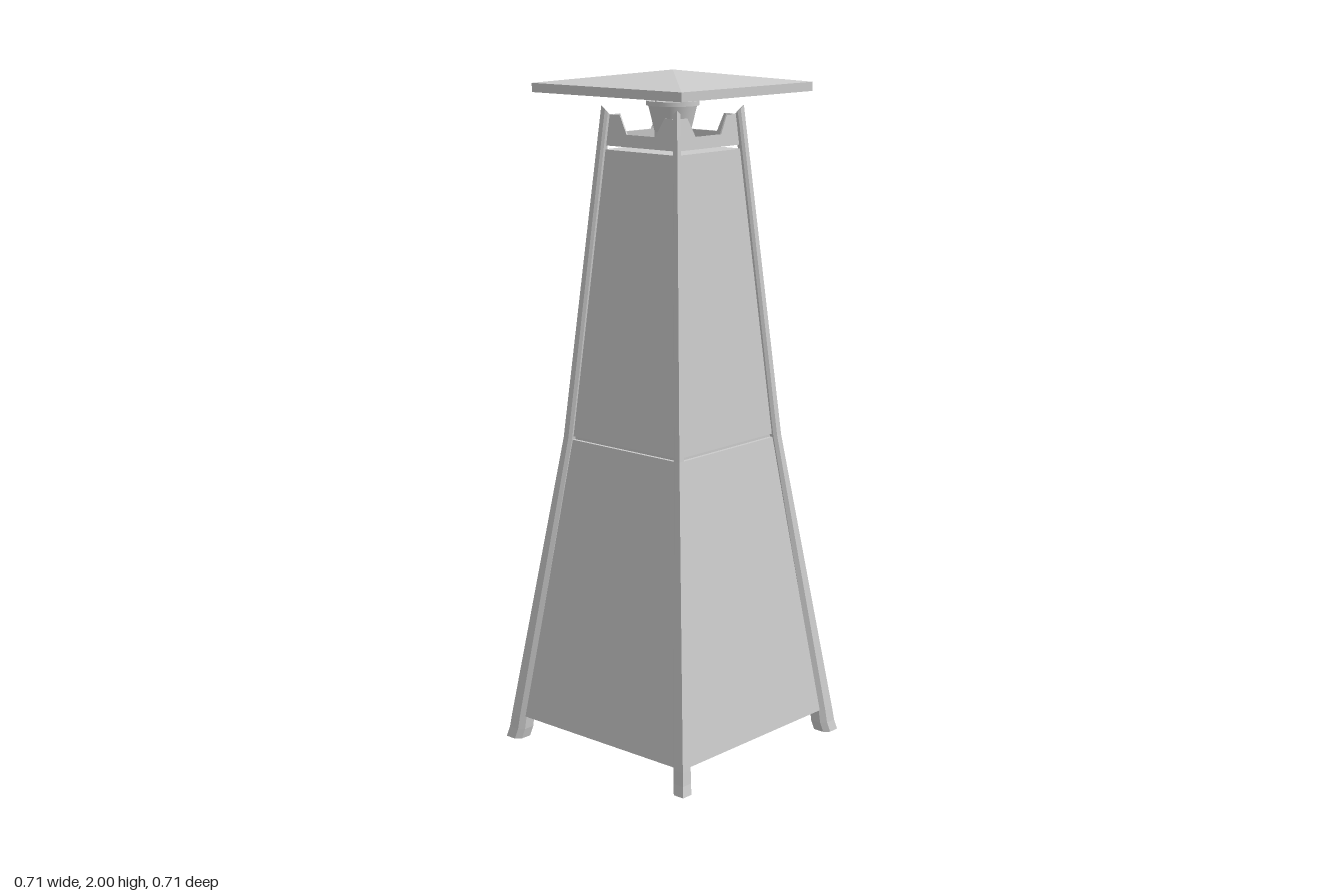
import * as THREE from 'three';

const flat = new THREE.MeshStandardMaterial({ color: 0xcccccc, flatShading: true });
const smooth = new THREE.MeshStandardMaterial({ color: 0xcccccc });
const sheet = new THREE.MeshStandardMaterial({ color: 0xcccccc, flatShading: true, side: THREE.DoubleSide });

function add(parent, name, geometry, material) {
  const mesh = new THREE.Mesh(geometry, material);
  mesh.name = name;
  parent.add(mesh);
  return mesh;
}

// Square tapered block from y0 to y1, given half widths at bottom and top
function frustum(y0, h0, y1, h1, open = false) {
  const g = new THREE.CylinderGeometry(h1 * Math.SQRT2, h0 * Math.SQRT2, y1 - y0, 4, 1, open);
  return g.rotateY(Math.PI / 4).translate(0, (y0 + y1) / 2, 0);
}

// Corner leg: six-sided section lofted through [height, outer corner, size]
function legGeometry() {
  const section = [[0, 0], [-0.7, 0], [-1, -0.3], [-1, -1], [-0.3, -1], [0, -0.7]];
  const rings = [
    [0, 0.357, 0.05], [0.03, 0.35, 0.05], [0.07, 0.345, 0.048],
    [0.93, 0.2275, 0.027], [1.83, 0.15, 0.022], [1.9, 0.144, 0.02],
  ];
  const n = section.length, last = rings.length - 1;
  const pos = [], idx = [];
  rings.forEach(([y, corner, size], i) => {
    for (const [u, v] of section) {
      const slant = i === last ? (u + v) * 0.015 : 0; // tip slopes inward
      pos.push(corner + u * size, y + slant, corner + v * size);
    }
  });
  for (let i = 0; i < last; i++) {
    for (let k = 0; k < n; k++) {
      const a = i * n + k, b = i * n + (k + 1) % n;
      idx.push(a, a + n, b, b, a + n, b + n);
    }
  }
  for (let k = 1; k < n - 1; k++) {
    idx.push(0, k, k + 1, last * n, last * n + k + 1, last * n + k);
  }
  const g = new THREE.BufferGeometry();
  g.setAttribute('position', new THREE.Float32BufferAttribute(pos, 3));
  g.setIndex(idx);
  g.computeVertexNormals();
  return g;
}

// Notched collar plate around the burner
function collarGeometry() {
  const s = new THREE.Shape([
    [-0.137, 0], [0.137, 0], [0.129, 0.088], [0.085, 0.088],
    [0.055, 0.035], [-0.055, 0.035], [-0.085, 0.088], [-0.129, 0.088],
  ].map(([x, y]) => new THREE.Vector2(x, y)));
  const g = new THREE.ExtrudeGeometry(s, { depth: 0.005, bevelEnabled: false });
  return g.rotateX(-0.085).translate(0, 1.786, 0.133);
}

export function createModel() {
  const model = new THREE.Group();
  model.name = 'pyramidHeater';

  // Body panels with a recessed seam
  add(model, 'lowerBody', frustum(0.07, 0.333, 0.925, 0.216), flat);
  add(model, 'seam', frustum(0.925, 0.206, 0.935, 0.206), flat);
  add(model, 'upperBody', frustum(0.935, 0.214, 1.775, 0.14), flat);

  // Four legs and four collar plates
  const leg = legGeometry(), collar = collarGeometry();
  for (let i = 0; i < 4; i++) {
    add(model, 'leg', leg, flat).rotation.y = i * Math.PI / 2;
    add(model, 'collarPlate', collar, flat).rotation.y = i * Math.PI / 2;
  }

  // Burner: stem and flared bowl with rim
  const burner = new THREE.Group();
  burner.name = 'burner';
  model.add(burner);
  add(burner, 'burnerStem', new THREE.CylinderGeometry(0.052, 0.052, 0.06, 32).translate(0, 1.8, 0), smooth);
  add(burner, 'burnerBowl', new THREE.CylinderGeometry(0.07, 0.052, 0.075, 32).translate(0, 1.8625, 0), smooth);
  add(burner, 'burnerRim', new THREE.CylinderGeometry(0.076, 0.076, 0.013, 32).translate(0, 1.9065, 0), smooth);

  // Thin posts holding the roof
  for (let i = 0; i < 4; i++) {
    const a = i * Math.PI / 2;
    const post = new THREE.CylinderGeometry(0.004, 0.004, 0.07, 8);
    add(burner, 'roofPost', post.translate(Math.cos(a) * 0.07, 1.943, Math.sin(a) * 0.07), smooth);
  }

  // Hollow pyramid roof with a turned-down skirt
  const roof = new THREE.Group();
  roof.name = 'roof';
  model.add(roof);
  add(roof, 'roofTop', frustum(1.964, 0.283, 2, 0.0001, true), sheet);
  add(roof, 'roofSkirt', frustum(1.938, 0.283, 1.964, 0.283, true), sheet);
  return model;
}
